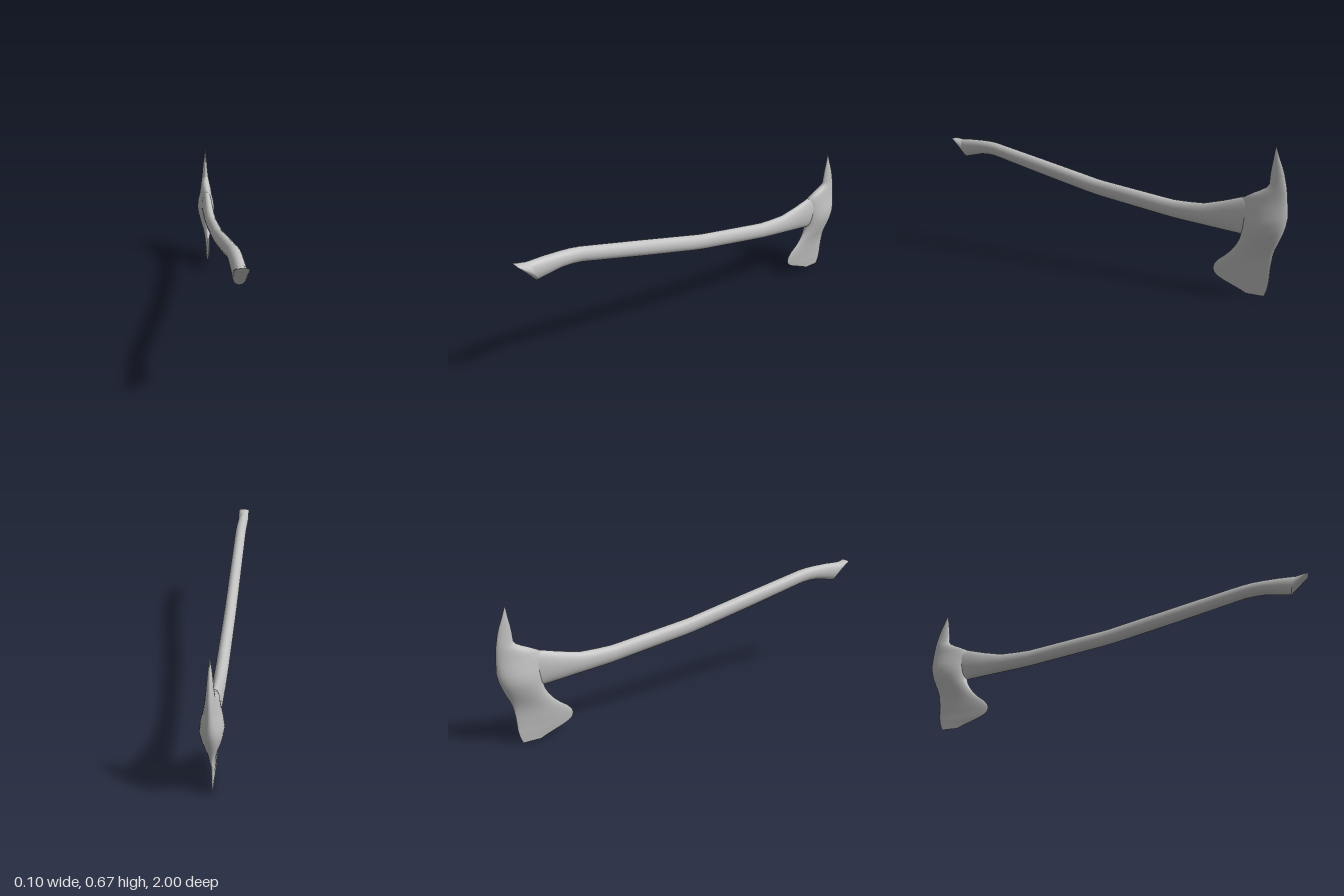
import * as THREE from 'three';

const SIDES = 32;

// Smooth closed skin over a list of rings, with both ends capped
function loft(rings) {
  const pos = [], index = [], n = rings[0].length;
  rings.forEach(r => r.forEach(p => pos.push(p.x, p.y, p.z)));
  for (let i = 0; i < rings.length - 1; i++) {
    for (let j = 0; j < n; j++) {
      const a = i * n + j, b = i * n + (j + 1) % n;
      index.push(a, a + n, b, b, a + n, b + n);
    }
  }
  // End caps have their own vertices so the rims stay crisp
  [rings[0], rings[rings.length - 1]].forEach((r, end) => {
    const start = pos.length / 3;
    const c = new THREE.Vector3();
    r.forEach(p => { pos.push(p.x, p.y, p.z); c.addScaledVector(p, 1 / n); });
    pos.push(c.x, c.y, c.z);
    for (let j = 0; j < n; j++) {
      const a = start + j, b = start + (j + 1) % n;
      if (end) index.push(start + n, b, a);
      else index.push(start + n, a, b);
    }
  });
  const g = new THREE.BufferGeometry();
  g.setAttribute('position', new THREE.Float32BufferAttribute(pos, 3));
  g.setIndex(index);
  g.computeVertexNormals();
  return g;
}

// Elliptical ring between two opposite points of the side profile
function ring(z1, y1, z2, y2, w) {
  return Array.from({ length: SIDES }, (_, j) => {
    const t = j / SIDES * Math.PI * 2, s = Math.sin(t);
    return new THREE.Vector3(w * Math.cos(t),
      (y1 + y2) / 2 + s * (y1 - y2) / 2, (z1 + z2) / 2 + s * (z1 - z2) / 2);
  });
}

export function createModel() {
  const grey = new THREE.MeshStandardMaterial({ color: 0xc0c0c0 });
  grey.name = 'plain grey';
  const group = new THREE.Group();
  group.name = 'fireAxe';
  const add = (name, rings) => {
    const m = new THREE.Mesh(loft(rings), grey);
    m.name = name;
    group.add(m);
  };

  // Curved handle: top z, top y, bottom z, bottom y, half width
  const handle = [
    [0.94, 0.61, 0.91, 0.515, 0.03],
    [0.86, 0.612, 0.85, 0.525, 0.03],
    [0.78, 0.61, 0.79, 0.535, 0.03],
    [0.73, 0.607, 0.74, 0.535, 0.03],
    [0.68, 0.60, 0.69, 0.53, 0.03],
    [0.35, 0.53, 0.36, 0.453, 0.03],
    [0.05, 0.465, 0.06, 0.386, 0.03],
    [0, 0.454, 0.01, 0.376, 0.03],
    [-0.05, 0.446, -0.04, 0.367, 0.03],
    [-0.38, 0.399, -0.38, 0.315, 0.03],
    [-0.44, 0.391, -0.44, 0.306, 0.03],
    [-0.52, 0.389, -0.52, 0.297, 0.03],
    [-0.60, 0.39, -0.60, 0.289, 0.03],
    [-0.70, 0.412, -0.70, 0.278, 0.03],
    [-0.79, 0.437, -0.80, 0.268, 0.03],
    [-0.88, 0.45, -0.88, 0.28, 0.02],
  ].map(r => ring(...r));
  add('handle', handle);

  // Flared end of the handle, drawn out to a flat lip
  add('handleEnd', [ring(1, 0.615, 0.995, 0.605, 0.03), handle[0]]);

  // Head from cutting edge to spike: y, front z, back z, half width
  const head = [
    [0, -0.82, -0.905, 0.0005],
    [0.015, -0.785, -0.912, 0.002],
    [0.03, -0.745, -0.918, 0.003],
    [0.045, -0.705, -0.922, 0.005],
    [0.06, -0.675, -0.925, 0.006],
    [0.075, -0.658, -0.927, 0.007],
    [0.095, -0.652, -0.928, 0.009],
    [0.115, -0.658, -0.93, 0.011],
    [0.14, -0.68, -0.932, 0.013],
    [0.165, -0.715, -0.936, 0.016],
    [0.19, -0.742, -0.94, 0.021],
    [0.22, -0.766, -0.95, 0.029],
    [0.25, -0.782, -0.965, 0.038],
    [0.285, -0.791, -0.98, 0.046],
    [0.32, -0.793, -0.992, 0.051],
    [0.36, -0.793, -1, 0.046],
    [0.40, -0.79, -0.999, 0.036],
    [0.435, -0.79, -0.997, 0.031],
    [0.46, -0.84, -0.995, 0.026],
    [0.475, -0.875, -0.993, 0.023],
    [0.49, -0.902, -0.991, 0.02],
    [0.505, -0.912, -0.988, 0.018],
    [0.545, -0.915, -0.98, 0.014],
    [0.58, -0.92, -0.969, 0.011],
    [0.61, -0.926, -0.957, 0.008],
    [0.668, -0.935, -0.937, 0.0005],
  ].map(([y, f, b, w]) => ring(f, y, b, y, w));
  add('axeHead', head);
  return group;
}
